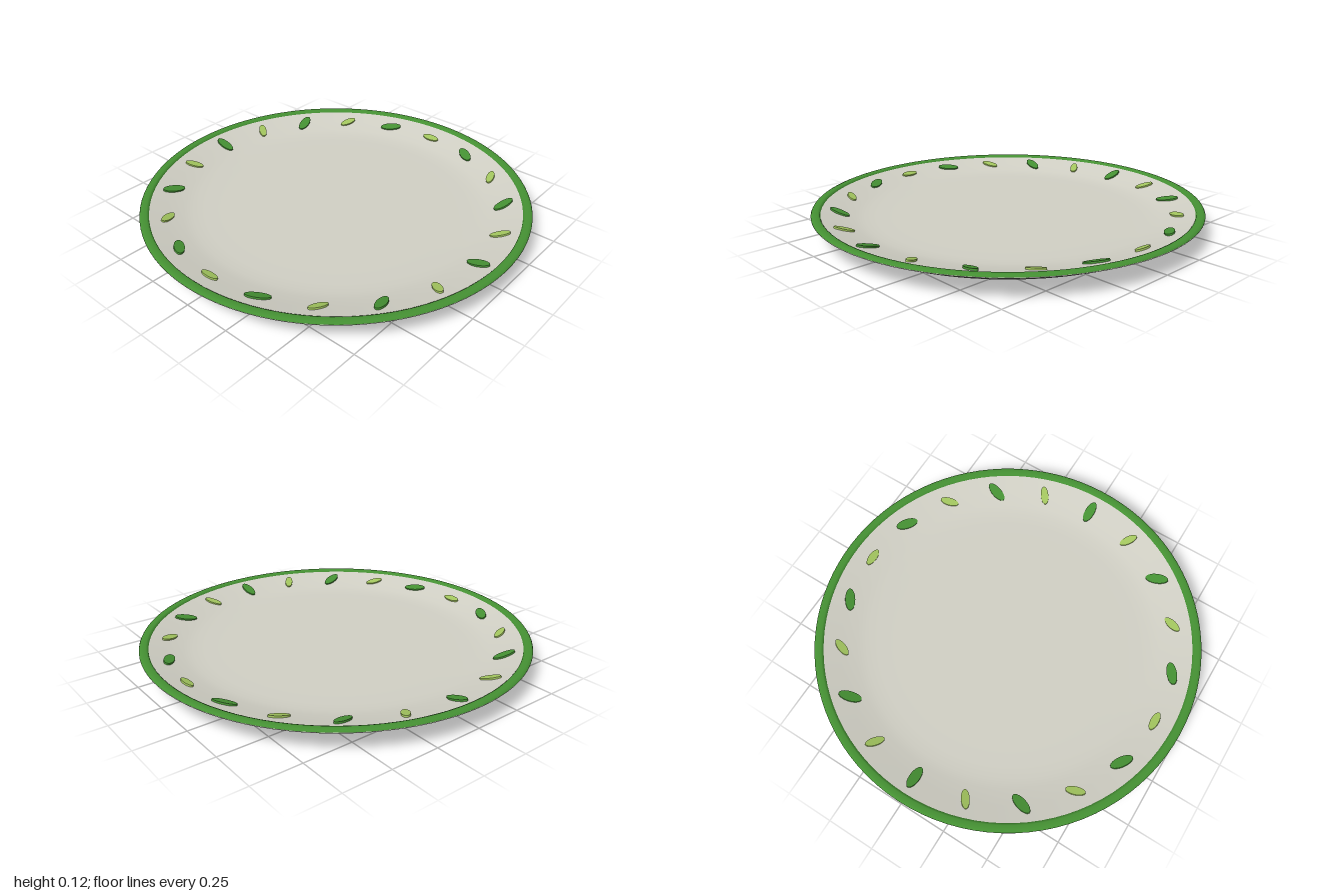
import * as THREE from 'three';

export function createModel() {
  const plate = new THREE.Group();
  plate.name = 'plate';

  const material = (name, color) => {
    const m = new THREE.MeshStandardMaterial({ color });
    m.name = name;
    return m;
  };
  const cream = material('cream glaze', 0xd0cfc4);
  const green = material('leaf green', 0x459133);
  const lime = material('light green', 0xa2c55e);

  const lathe = (name, profile, mat) => {
    const points = profile.map(([r, y]) => new THREE.Vector2(r, y));
    const mesh = new THREE.Mesh(new THREE.LatheGeometry(points, 96), mat);
    mesh.name = name;
    plate.add(mesh);
  };

  // Dish: underside with foot ring, up to the lip, then down the inner slope to the floor
  lathe('dish', [
    [0, 0.008], [0.41, 0.008], [0.44, 0], [0.56, 0], [0.6, 0.018],
    [0.78, 0.027], [0.9, 0.056], [0.98, 0.094], [1, 0.104], [1, 0.108],
    [0.975, 0.111], [0.955, 0.107], [0.87, 0.084], [0.79, 0.065], [0.74, 0.058],
    [0.68, 0.055], [0.6, 0.055], [0, 0.055],
  ], cream);

  // Painted band on top of the rim
  lathe('rimBand', [
    [1, 0.108], [0.996, 0.114], [0.985, 0.118], [0.965, 0.117], [0.956, 0.113], [0.953, 0.105],
  ], green);

  // Twenty flat leaves on the inner slope, large and small in turn, each twisted further
  const leafShape = new THREE.CylinderGeometry(1, 1, 1, 28);
  const count = 20;
  for (let i = 0; i < count; i++) {
    const angle = (i / count) * Math.PI * 2;
    const large = i % 2 === 0;

    const leaf = new THREE.Mesh(leafShape, large ? green : lime);
    leaf.name = large ? 'largeLeaf' : 'smallLeaf';
    leaf.scale.set(large ? 0.06 : 0.05, 0.009, large ? 0.026 : 0.021);
    leaf.rotation.y = angle;

    const slope = new THREE.Group();
    slope.name = 'leafMount';
    slope.position.set(0.863, 0.087, 0);
    slope.rotation.z = 0.27;
    slope.add(leaf);

    const spoke = new THREE.Group();
    spoke.name = 'leafSpoke';
    spoke.rotation.y = angle;
    spoke.add(slope);
    plate.add(spoke);
  }

  return plate;
}
